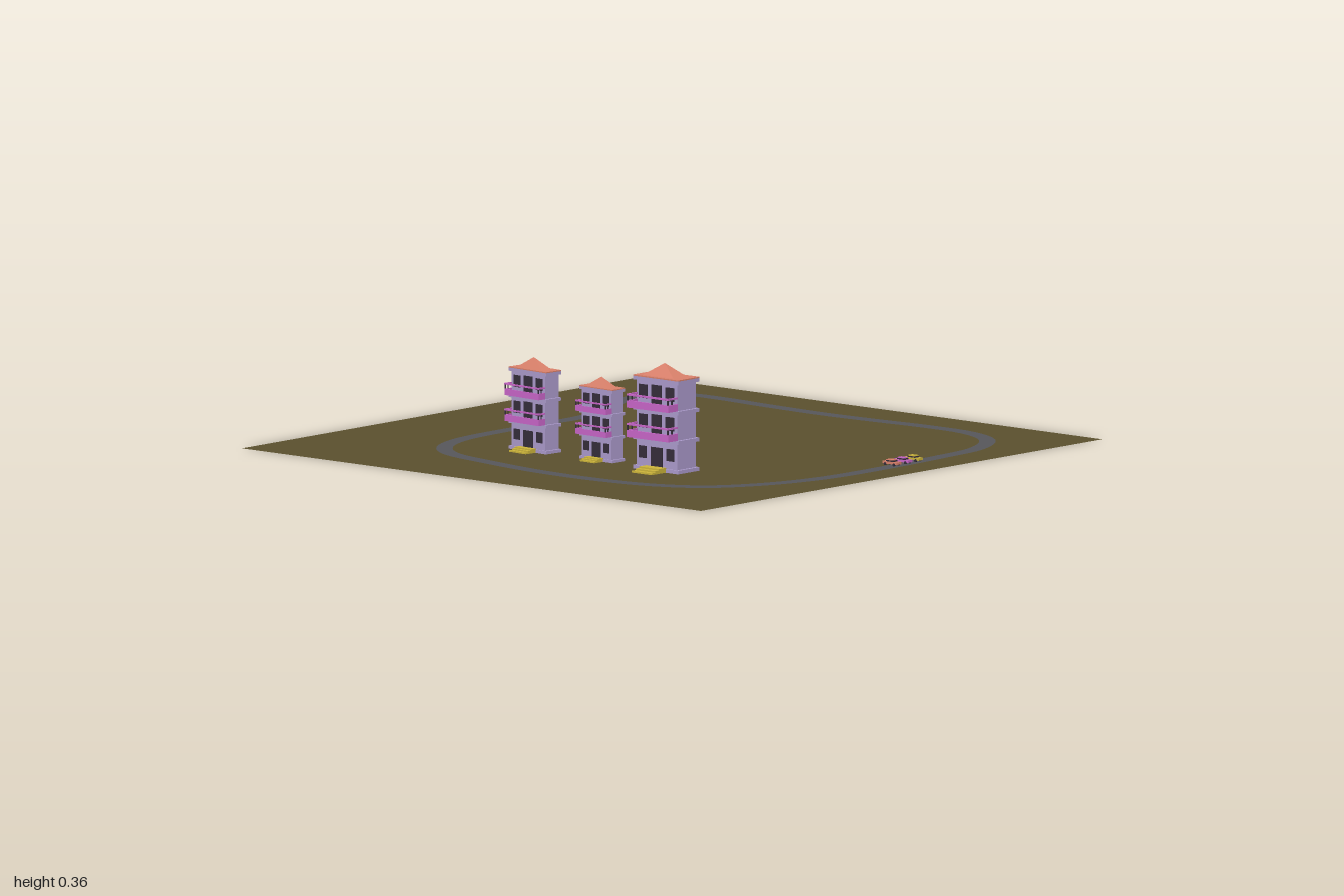
import * as THREE from 'three';

const mat = (name, color, side = THREE.FrontSide) => {
  const m = new THREE.MeshStandardMaterial({ color, side });
  m.name = name;
  return m;
};

export function createModel() {
  const M = {
    earth: mat('earth', 0x5a502d, THREE.DoubleSide),
    asphalt: mat('asphalt', 0x56565a, THREE.DoubleSide),
    lavender: mat('lavender wall', 0xab9acb),
    coral: mat('coral', 0xd9806a),
    pink: mat('orchid pink', 0xc865c8),
    yellow: mat('mustard yellow', 0xccb43a),
    dark: mat('dark glass', 0x352d3a),
  };
  const root = new THREE.Group();
  root.name = 'racetrackDiorama';

  const add = (parent, name, geo, material, x = 0, y = 0, z = 0) => {
    const mesh = new THREE.Mesh(geo, material);
    mesh.name = name;
    mesh.position.set(x, y, z);
    parent.add(mesh);
    return mesh;
  };
  // Box given by its min and max extents
  const box = (parent, name, material, x0, x1, y0, y1, z0, z1) =>
    add(parent, name, new THREE.BoxGeometry(x1 - x0, y1 - y0, z1 - z0), material,
      (x0 + x1) / 2, (y0 + y1) / 2, (z0 + z1) / 2);

  // Ground
  add(root, 'ground', new THREE.PlaneGeometry(2, 2).rotateX(-Math.PI / 2), M.earth);

  // Road: flat ribbon along a closed centre line
  const line = [
    [-0.07, 0.87], [0.35, 0.855], [0.57, 0.83], [0.73, 0.735], [0.80, 0.59], [0.81, 0.40],
    [0.795, 0.19], [0.785, -0.02], [0.795, -0.29], [0.81, -0.5], [0.80, -0.64], [0.735, -0.72],
    [0.645, -0.73], [0.54, -0.70], [0.35, -0.61], [0.19, -0.58], [0, -0.585], [-0.4, -0.57],
    [-0.555, -0.505], [-0.645, -0.4], [-0.70, -0.185], [-0.74, 0.08], [-0.74, 0.35],
    [-0.695, 0.565], [-0.61, 0.70], [-0.45, 0.80], [-0.26, 0.855],
  ];
  const curve = new THREE.CatmullRomCurve3(line.map(([x, z]) => new THREE.Vector3(x, 0, z)), true);
  const steps = 160, half = 0.027, pos = [], idx = [];
  for (let i = 0; i <= steps; i++) {
    const p = curve.getPointAt((i % steps) / steps), t = curve.getTangentAt((i % steps) / steps);
    pos.push(p.x - t.z * half, 0, p.z + t.x * half, p.x + t.z * half, 0, p.z - t.x * half);
    if (i < steps) {
      const a = i * 2;
      idx.push(a, a + 1, a + 2, a + 1, a + 3, a + 2);
    }
  }
  // Upward normals
  if (pos.length) for (let i = 0; i < idx.length; i += 3) {
    const [a, b, c] = [idx[i] * 3, idx[i + 1] * 3, idx[i + 2] * 3];
    const ny = (pos[b + 2] - pos[a + 2]) * (pos[c] - pos[a]) - (pos[b] - pos[a]) * (pos[c + 2] - pos[a + 2]);
    if (ny < 0) [idx[i + 1], idx[i + 2]] = [idx[i + 2], idx[i + 1]];
  }
  const ribbon = new THREE.BufferGeometry();
  ribbon.setAttribute('position', new THREE.Float32BufferAttribute(pos, 3));
  ribbon.setIndex(idx);
  ribbon.computeVertexNormals();
  add(root, 'road', ribbon, M.asphalt, 0, 0.003, 0);

  // Three-storey house whose facade faces -x
  const house = (name, x, z, sx, sy, sz, turn) => {
    const g = new THREE.Group();
    g.name = name;
    box(g, 'walls', M.lavender, -0.047, 0.047, 0.006, 0.305, -0.088, 0.088);
    [0.006, 0.104, 0.202, 0.302].forEach((y) =>
      box(g, 'storeyLedge', M.lavender, -0.053, 0.053, y, y + 0.012, -0.098, 0.098));
    // Roof
    box(g, 'eaves', M.coral, -0.053, 0.053, 0.314, 0.318, -0.098, 0.098);
    const cone = new THREE.ConeGeometry(Math.SQRT1_2, 1, 4, 1, false).rotateY(Math.PI / 4)
      .scale(0.07, 0.044, 0.138).toNonIndexed();
    cone.computeVertexNormals();
    add(g, 'roof', cone, M.coral, -0.003, 0.338, -0.004);
    // Balconies with their doors and windows
    for (const y of [0.116, 0.214]) {
      box(g, 'balconyFloor', M.pink, -0.094, -0.047, y, y + 0.008, -0.09, 0.09);
      box(g, 'balconyFront', M.pink, -0.094, -0.088, y + 0.008, y + 0.024, -0.09, 0.09);
      box(g, 'balconyRail', M.pink, -0.095, -0.088, y + 0.04, y + 0.046, -0.09, 0.09);
      for (const s of [-1, 1]) {
        box(g, 'balconySide', M.pink, -0.088, -0.047, y + 0.008, y + 0.024, s * 0.087 - 0.003, s * 0.087 + 0.003);
        box(g, 'sideRail', M.pink, -0.088, -0.047, y + 0.04, y + 0.046, s * 0.087 - 0.003, s * 0.087 + 0.003);
        box(g, 'window', M.dark, -0.05, -0.046, y + 0.03, y + 0.075, s * 0.058 - 0.018, s * 0.058 + 0.018);
        for (const px of [-0.092, -0.072])
          box(g, 'railPost', M.dark, px - 0.002, px + 0.002, y + 0.024, y + 0.04, s * 0.087 - 0.002, s * 0.087 + 0.002);
      }
      box(g, 'balconyDoor', M.dark, -0.05, -0.046, y + 0.008, y + 0.078, -0.022, 0.022);
    }
    // Entrance and front steps
    box(g, 'frontDoor', M.dark, -0.05, -0.046, 0.018, 0.085, -0.025, 0.025);
    for (const s of [-1, 1])
      box(g, 'groundWindow', M.dark, -0.05, -0.046, 0.045, 0.085, s * 0.06 - 0.016, s * 0.06 + 0.016);
    for (let i = 0; i < 3; i++)
      box(g, 'frontStep', M.yellow, -0.122 + i * 0.018, -0.05, 0.006 + i * 0.005, 0.012 + i * 0.005, -0.043, 0.043);
    g.position.set(x, 0, z);
    g.scale.set(sx, sy, sz);
    g.rotation.y = turn;
    root.add(g);
  };
  house('tallHouse', -0.4475, 0.367, 1, 1, 1, 0);
  house('smallHouse', -0.425, 0.067, 0.6, 0.78, 0.77, -0.05);
  house('middleHouse', -0.425, -0.226, 0.66, 0.875, 0.89, -0.08);

  // Cars side by side on the road
  const car = (name, paint, x, z, turn) => {
    const g = new THREE.Group();
    g.name = name;
    box(g, 'carBody', paint, -0.012, 0.012, 0.010, 0.018, -0.031, 0.031);
    box(g, 'carCabin', M.dark, -0.0105, 0.0105, 0.018, 0.0225, -0.017, 0.015);
    box(g, 'carRoof', paint, -0.011, 0.011, 0.0225, 0.025, -0.015, 0.013);
    const wheel = new THREE.CylinderGeometry(0.005, 0.005, 0.004, 12).rotateZ(Math.PI / 2);
    for (const sx of [-1, 1]) for (const sz of [-1, 1])
      add(g, 'wheel', wheel, M.dark, sx * 0.0115, 0.0095, sz * 0.019);
    g.position.set(x, 0, z);
    g.rotation.y = turn;
    root.add(g);
  };
  car('coralCar', M.coral, 0.112, 0.86, 0);
  car('pinkCar', M.pink, 0.17, 0.858, 0.03);
  car('yellowCar', M.yellow, 0.226, 0.855, 0);
  return root;
}
